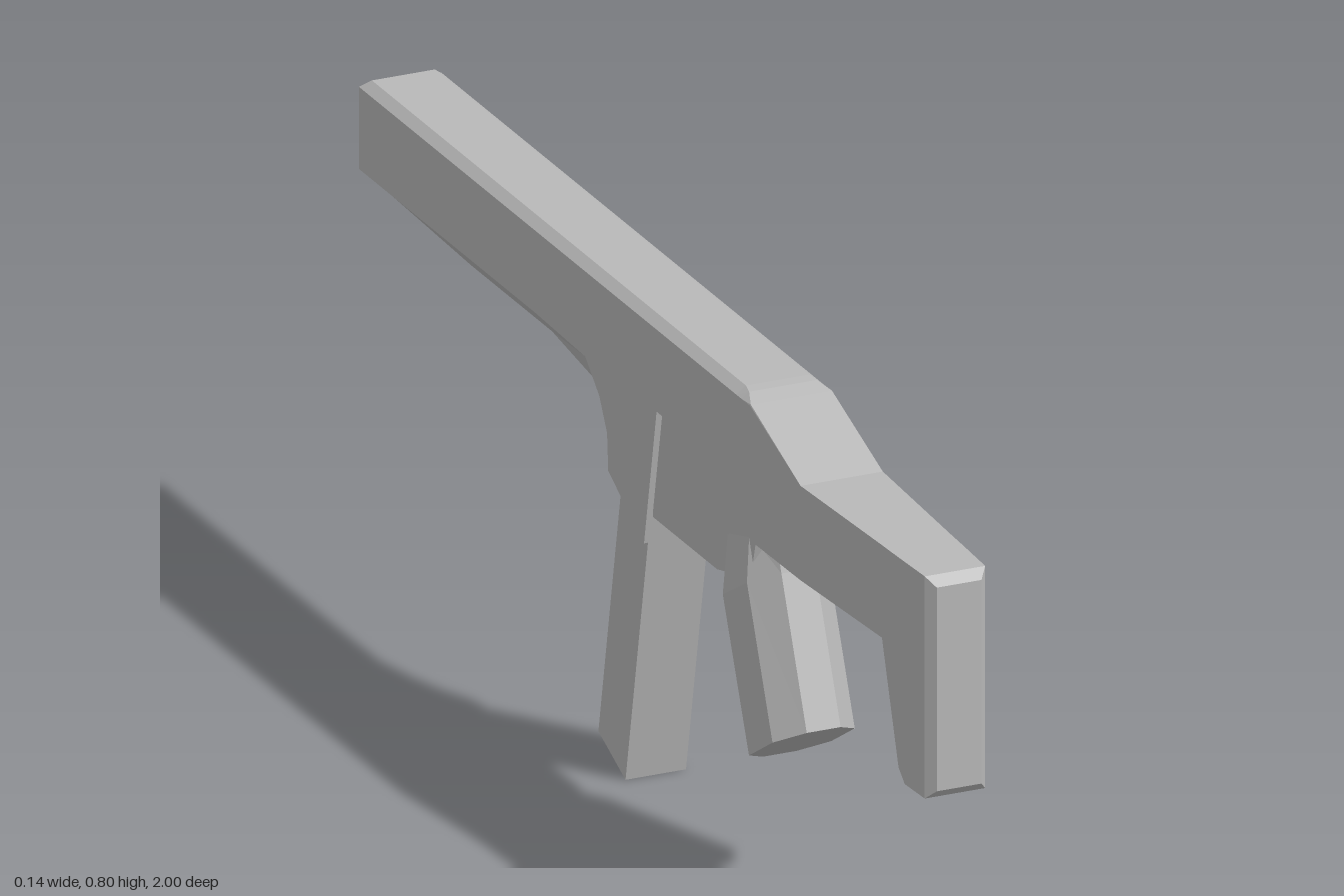
import * as THREE from 'three';

const grey = new THREE.MeshStandardMaterial({ color: 0xb8b8b8, flatShading: true });
grey.name = 'matte grey';

function addMesh(group, name, geometry) {
  const mesh = new THREE.Mesh(geometry, grey);
  mesh.name = name;
  group.add(mesh);
}

// Skin a list of rings; each ring runs counter-clockwise seen from the first ring's end.
function loft(rings) {
  const pos = [];
  const tri = (...pts) => pts.forEach((p) => pos.push(...p));
  const n = rings[0].length;
  for (let r = 0; r < rings.length - 1; r++) {
    const a = rings[r], b = rings[r + 1];
    for (let i = 0; i < n; i++) {
      const j = (i + 1) % n;
      tri(a[i], b[i], b[j]);
      tri(a[i], b[j], a[j]);
    }
  }
  const first = rings[0], last = rings[rings.length - 1];
  for (let i = 1; i < n - 1; i++) {
    tri(first[0], first[i], first[i + 1]);
    tri(last[0], last[i + 1], last[i]);
  }
  const geometry = new THREE.BufferGeometry();
  geometry.setAttribute('position', new THREE.Float32BufferAttribute(pos, 3));
  geometry.computeVertexNormals();
  return geometry;
}

// Side outline of (z, y) points, extruded across x.
function sidePlate(points, width) {
  const shape = new THREE.Shape(points.map(([z, y]) => new THREE.Vector2(z, y)));
  const geometry = new THREE.ExtrudeGeometry(shape, { depth: width, bevelEnabled: false });
  return geometry.translate(0, 0, -width / 2).rotateY(-Math.PI / 2);
}

// Eight-sided body cross-section.
function bodyRing([z, top, topHalf, shoulder, half, low, bottom, bottomHalf]) {
  const right = [[topHalf, top], [half, shoulder], [half, low], [bottomHalf, bottom]];
  return [
    [topHalf, top, z],
    ...right.map(([x, y]) => [-x, y, z]),
    ...right.slice(1).reverse().map(([x, y]) => [x, y, z]),
  ];
}

// Tilted octagon for the grip: centre (z, y), half depth vector (dz, dy), half widths.
function gripRing([z, y, dz, dy, wide, narrow]) {
  const outline = [[narrow, 1], [wide, 0.54], [wide, -0.54], [narrow, -1],
    [-narrow, -1], [-wide, -0.54], [-wide, 0.54], [-narrow, 1]];
  return outline.map(([x, d]) => [x, y + d * dy, z + d * dz]);
}

export function createModel() {
  const group = new THREE.Group();
  group.name = 'model';

  // Stock, receiver and fore-end: z, top y, top half, shoulder y, half, side low y, bottom y, bottom half
  const stock = [
    [1, 0.71, 0.037, 0.71, 0.037, 0.38, 0.38, 0.037],
    [0.985, 0.725, 0.05, 0.725, 0.05, 0.365, 0.365, 0.05],
    [0.92, 0.725, 0.053, 0.725, 0.053, 0.365, 0.365, 0.053],
    [0.9, 0.725, 0.054, 0.725, 0.054, 0.385, 0.385, 0.054],
    [0.845, 0.725, 0.056, 0.725, 0.056, 0.575, 0.575, 0.056],
    [0.58, 0.725, 0.068, 0.725, 0.068, 0.572, 0.572, 0.066],
  ];
  const receiver = [
    [0.4, 0.79, 0.067, 0.788, 0.068, 0.57, 0.57, 0.066],
    [0.37, 0.798, 0.056, 0.788, 0.068, 0.655, 0.655, 0.068],
    [0.35, 0.8, 0.052, 0.788, 0.068, 0.655, 0.655, 0.068],
    [0.065, 0.8, 0.052, 0.788, 0.068, 0.655, 0.655, 0.068],
    [0.02, 0.8, 0.052, 0.788, 0.068, 0.425, 0.425, 0.066],
    [-0.108, 0.8, 0.052, 0.788, 0.068, 0.495, 0.495, 0.06],
    [-0.112, 0.8, 0.052, 0.788, 0.068, 0.555, 0.545, 0.055],
    [-0.14, 0.8, 0.052, 0.788, 0.068, 0.605, 0.595, 0.052],
  ];
  const foreEnd = [
    [-0.19, 0.8, 0.052, 0.788, 0.068, 0.65, 0.608, 0.05],
    [-0.37, 0.8, 0.052, 0.788, 0.068, 0.655, 0.62, 0.04],
    [-0.66, 0.8, 0.052, 0.788, 0.068, 0.655, 0.62, 0.04],
    [-0.988, 0.8, 0.052, 0.788, 0.068, 0.655, 0.656, 0.066],
    [-1, 0.788, 0.067, 0.788, 0.068, 0.655, 0.655, 0.068],
  ];
  addMesh(group, 'body', loft([...stock, ...receiver, ...foreEnd].map(bodyRing)));

  // Recessed lower housing between the grip and the front socket
  addMesh(group, 'lowerHousing', sidePlate(
    [[0.4, 0.57], [0.37, 0.7], [0.03, 0.7], [0.03, 0.47], [0.26, 0.47], [0.38, 0.5]], 0.116));

  // Octagonal rear grip with a collar tapering into the housing
  const grip = [
    [0.335, 0.56, 0.07, 0.02, 0.057, 0.03],
    [0.345, 0.472, 0.08, 0.047, 0.068, 0.028],
    [0.4375, 0.246, 0.078, 0.048, 0.068, 0.028],
  ];
  addMesh(group, 'grip', loft(grip.map(gripRing)));

  // Straight front column
  addMesh(group, 'frontColumn', sidePlate(
    [[0.012, 0.5], [-0.085, 0], [-0.182, 0.043], [-0.09, 0.52]], 0.1));

  return group;
}
